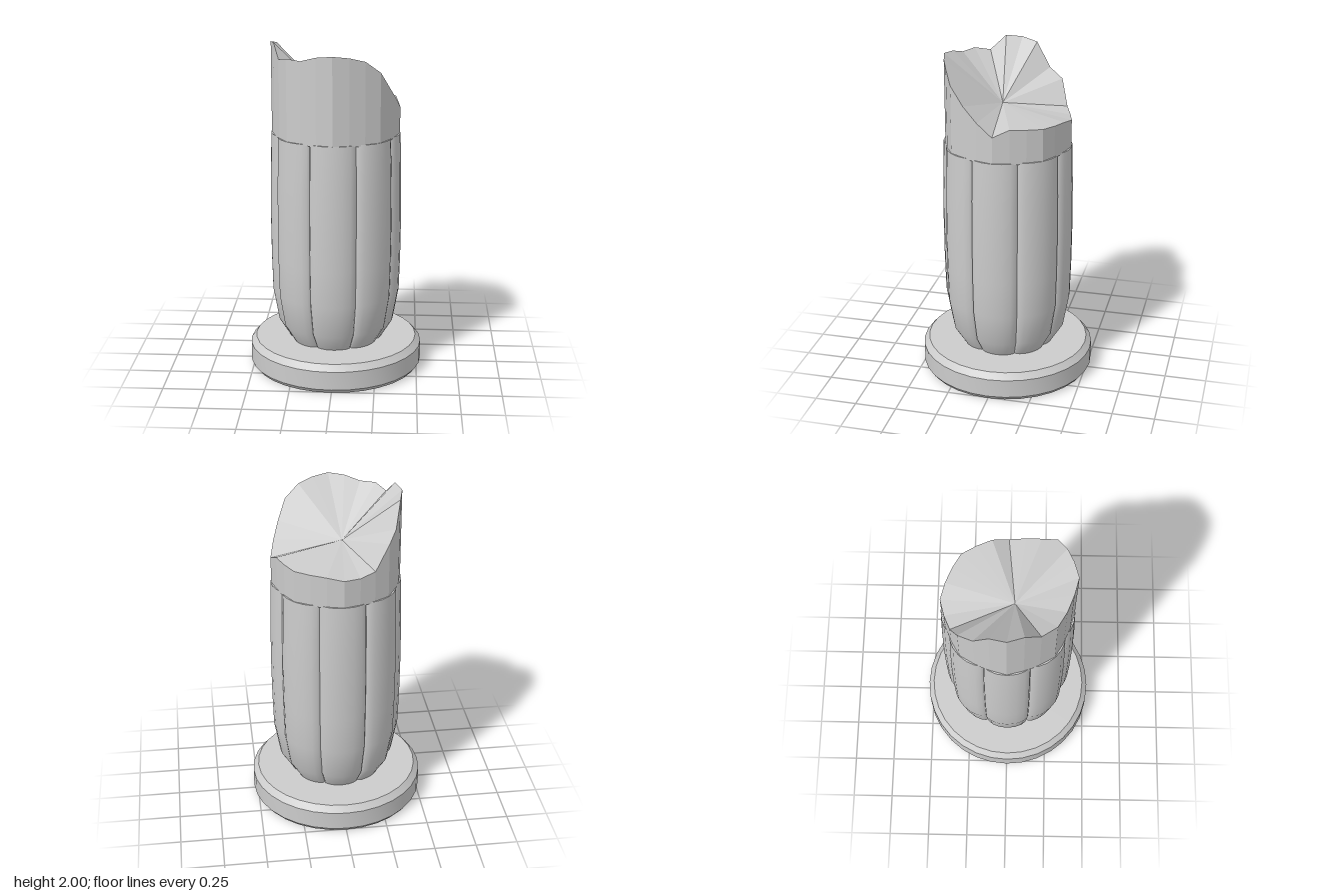
import * as THREE from 'three';
import { toCreasedNormals } from 'three/addons/utils/BufferGeometryUtils.js';

const LOBES = 8;
const SHAFT_TOP = 1.455;
const V = (x, y) => new THREE.Vector2(x, y);

// Shaft swelling: [height, scale of the cross-section]
const SWELL = [[0.16, 0.7], [0.28, 0.89], [0.48, 0.98], [0.7, 0.995], [0.95, 1], [1.2, 0.992], [SHAFT_TOP, 0.973]];

// Rounded lobe: u runs from -1 to 1 between two grooves
const lobeRadius = u => 0.355 + 0.039 * Math.sqrt(Math.max(0, 1 - u * u));

// Heights of the broken rim, every 15 degrees from +x towards +z
const RIM = [1.61, 1.68, 1.76, 1.86, 1.93, 1.955, 1.967, 1.957, 1.93, 1.935, 1.915, 2.0,
  1.99, 1.97, 1.83, 1.78, 1.64, 1.62, 1.62, 1.635, 1.64, 1.645, 1.65, 1.655];

function lobeGeometry() {
  const across = 8, rows = SWELL.length - 1;
  const g = new THREE.PlaneGeometry(1, 1, across, rows);
  const p = g.attributes.position;
  for (let i = 0; i < p.count; i++) {
    const u = Math.sin(p.getX(i) * Math.PI);
    const [y, s] = SWELL[Math.round((p.getY(i) + 0.5) * rows)];
    const a = u * Math.PI / LOBES, r = lobeRadius(u) * s;
    p.setXYZ(i, r * Math.sin(a), y, r * Math.cos(a));
  }
  g.computeVertexNormals();
  return g;
}

// Flat scalloped cap closing the shaft
function capGeometry() {
  const pts = [], s = SWELL[SWELL.length - 1][1];
  for (let k = 0; k < LOBES; k++) {
    for (let j = 0; j < 8; j++) {
      const u = Math.sin((j / 8 - 0.5) * Math.PI);
      const a = (2 * k + u) * Math.PI / LOBES, r = lobeRadius(u) * s;
      pts.push(V(r * Math.cos(a), r * Math.sin(a)));
    }
  }
  return new THREE.ShapeGeometry(new THREE.Shape(pts)).rotateX(-Math.PI / 2).translate(0, SHAFT_TOP, 0);
}

// Jagged stump: faceted wall, with the fracture fanning out from a sunken point
function stumpGeometry() {
  const n = RIM.length, bottom = SHAFT_TOP - 0.008, out = [];
  const at = (i, y) => {
    const a = i / n * Math.PI * 2, r = i % 3 === 0 ? 0.38 : 0.367;
    return [r * Math.cos(a), y, r * Math.sin(a)];
  };
  const centre = [-0.04, 1.68, 0.04], under = [0, bottom, 0];
  for (let i = 0; i < n; i++) {
    const j = (i + 1) % n;
    const b0 = at(i, bottom), b1 = at(j, bottom), t0 = at(i, RIM[i]), t1 = at(j, RIM[j]);
    out.push(...b0, ...t0, ...t1, ...b0, ...t1, ...b1);
    out.push(...centre, ...t1, ...t0, ...under, ...b0, ...b1);
  }
  const g = new THREE.BufferGeometry();
  g.setAttribute('position', new THREE.Float32BufferAttribute(out, 3));
  g.computeVertexNormals();
  return g;
}

export function createModel() {
  const model = new THREE.Group();
  model.name = 'brokenColumn';
  const smooth = new THREE.MeshStandardMaterial({ color: 0xcccccc });
  const open = new THREE.MeshStandardMaterial({ color: 0xcccccc, side: THREE.DoubleSide });
  const flat = new THREE.MeshStandardMaterial({ color: 0xcccccc, flatShading: true });
  const add = (parent, name, geometry, material) => {
    const m = new THREE.Mesh(geometry, material);
    m.name = name;
    parent.add(m);
    return m;
  };

  // Round plinth with bevelled edges, hollow underneath
  const profile = [V(0.505, 0), V(0.524, 0.025), V(0.524, 0.138), V(0.492, 0.175), V(0, 0.175)];
  add(model, 'base', toCreasedNormals(new THREE.LatheGeometry(profile, 32), 0.4), open);

  // Shaft of eight rounded lobes
  const shaft = new THREE.Group();
  shaft.name = 'shaft';
  model.add(shaft);
  const lobe = lobeGeometry();
  for (let k = 0; k < LOBES; k++) {
    add(shaft, 'shaftLobe', lobe, smooth).rotation.y = k * 2 * Math.PI / LOBES;
  }
  add(shaft, 'shaftCap', capGeometry(), smooth);

  // Broken upper end
  add(model, 'brokenTop', stumpGeometry(), flat);
  return model;
}
